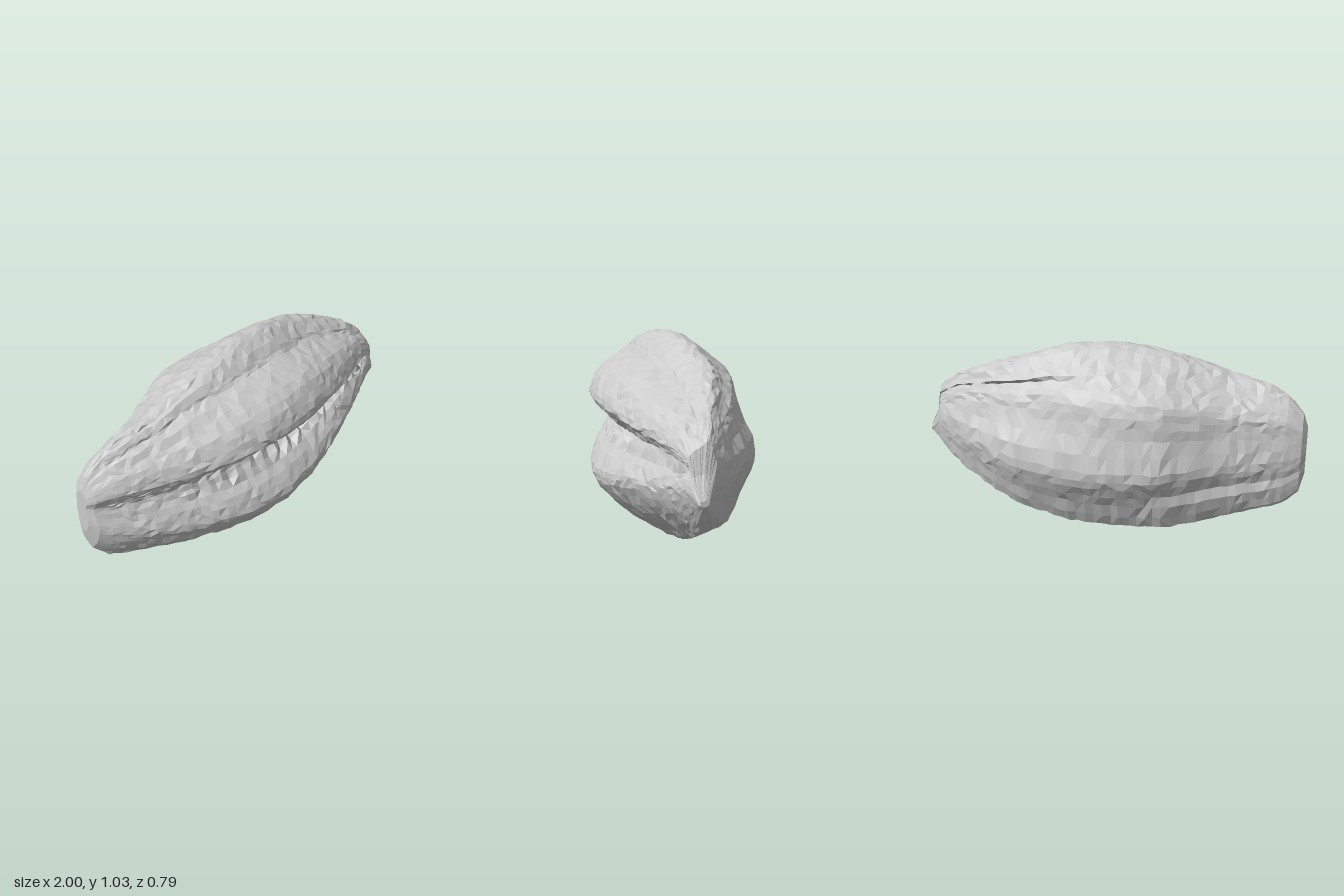
import * as THREE from 'three';

// Stations along the length: x, top y, bottom y, front z, back z, slit y
const STATIONS = [
  [-1.0, 0.66, 0.4, 0.0, -0.08, 0.56], [-0.98, 0.73, 0.29, 0.04, -0.11, 0.56],
  [-0.9, 0.815, 0.205, 0.1, -0.14, 0.555], [-0.8, 0.86, 0.165, 0.16, -0.165, 0.55],
  [-0.6, 0.905, 0.1, 0.255, -0.22, 0.55], [-0.4, 0.965, 0.05, 0.33, -0.315, 0.55],
  [-0.3, 0.995, 0.03, 0.36, -0.365, 0.55], [-0.15, 1.02, 0.01, 0.385, -0.388, 0.55],
  [0, 1.03, 0.003, 0.39, -0.395, 0.55], [0.2, 1.02, 0.015, 0.37, -0.38, 0.55],
  [0.45, 0.95, 0.075, 0.305, -0.335, 0.555], [0.6, 0.895, 0.125, 0.25, -0.255, 0.56],
  [0.8, 0.805, 0.22, 0.17, -0.115, 0.56], [0.9, 0.725, 0.305, 0.13, -0.045, 0.56],
  [0.925, 0.695, 0.33, 0.12, -0.025, 0.56], [0.945, 0.57, 0.355, 0.11, 0.0, 0.53],
  [1.0, 0.45, 0.42, 0.085, 0.04, 0.435],
];

// Middle cross-section as z, y: over the top, down the back, up the front
const SECTION = [
  [0.005, 1.03], [-0.06, 1.015], [-0.15, 0.95], [-0.235, 0.895], [-0.31, 0.84], [-0.335, 0.77],
  [-0.35, 0.66], [-0.39, 0.485], [-0.37, 0.385], [-0.3, 0.255], [-0.23, 0.1], [-0.09, 0.045],
  [0.055, 0.005], [0.13, 0.05], [0.235, 0.105], [0.32, 0.18], [0.385, 0.275], [0.385, 0.335],
  [0.343, 0.41], [0.265, 0.49], [0.21, 0.54], [0.235, 0.575], [0.3, 0.605], [0.35, 0.655],
  [0.39, 0.705], [0.37, 0.77], [0.315, 0.845], [0.235, 0.895], [0.14, 0.925], [0.11, 0.955],
  [0.05, 1.015],
];
const ALONG = 54, AROUND = SECTION.length * 2, SLIT_Y = 0.55;

function makeRandom(seed) {
  return () => {
    seed = (seed * 1664525 + 1013904223) % 4294967296;
    return seed / 4294967296 - 0.5;
  };
}

// Linear lookup of the station values at x
function stationAt(x) {
  let i = 0;
  while (i < STATIONS.length - 2 && x > STATIONS[i + 1][0]) i++;
  const a = STATIONS[i], b = STATIONS[i + 1];
  const t = (x - a[0]) / (b[0] - a[0]);
  return a.map((v, k) => v + (b[k] - v) * t);
}

function shellGeometry() {
  const random = makeRandom(17);
  const curve = new THREE.CatmullRomCurve3(
    SECTION.map(([z, y]) => new THREE.Vector3(0, y, z)), true, 'catmullrom', 0.45);
  const ring = [];
  for (let j = 0; j < AROUND; j++) ring.push(curve.getPoint(j / AROUND));

  const positions = [], indices = [];
  for (let i = 0; i <= ALONG; i++) {
    // stations gather towards both ends
    const s = (i / ALONG) * 2 - 1;
    const x = 0.65 * s + 0.35 * Math.sin(s * Math.PI / 2);
    const [, top, bottom, front, back, slit] = stationAt(x);
    const rough = 0.014 * Math.min(1, (1 - Math.abs(x)) * 5);
    const right = THREE.MathUtils.smoothstep(x, -0.2, 0.7);
    const left = THREE.MathUtils.smoothstep(-x, 0.1, 0.5);
    const toothSize = 0.007 + 0.02 * right + 0.012 * random();
    for (const p of ring) {
      let rise = (p.y - SLIT_Y) / (p.y > SLIT_Y ? 1.03 - SLIT_Y : SLIT_Y);
      let depth = p.z;
      const inSlit = p.z > 0.1 && p.z < 0.3 && rise > -0.15 && rise < 0.12;
      // the slit is shallow on one side and deep on the other
      if (inSlit) depth += (0.3 - p.z) * (0.45 - 0.95 * right);
      // the upper back recedes on the right, the lower back swells on the left
      if (p.z < -0.2 && rise > 0.2) depth += 0.08 * right * Math.min(1, rise / 0.5);
      if (p.z < -0.05 && rise < -0.5) depth -= 0.05 * left;
      // the crest drifts backwards on the right and its step fades on the left
      if (rise > 0.4) depth -= 0.1 * right * rise * Math.max(0, 1 - Math.abs(p.z) / 0.3);
      if (rise > 0.7 && p.z > 0.08 && p.z < 0.2) rise += 0.06 * left;
      // the lower lip rises towards the right end
      if (rise < 0 && p.z > 0) {
        const lift = right * Math.min(1, p.z / 0.2);
        rise = -Math.pow(-rise, 1 + 0.35 * lift);
      }
      let y = slit + rise * (rise > 0 ? top - slit : slit - bottom);
      let z = back + (front - back) * (depth + 0.39) / 0.78;
      // ragged teeth on the lower lip of the slit
      if (inSlit && rise < 0 && x > -0.5 && x < 0.85) {
        const tooth = i % 2 ? toothSize : -toothSize;
        y += tooth;
        z += tooth * 0.6;
      }
      positions.push(x + random() * rough, Math.max(0, y + random() * rough * 0.8),
        z + random() * rough * 0.8);
    }
  }
  for (let i = 0; i < ALONG; i++) {
    for (let j = 0; j < AROUND; j++) {
      const k = (j + 1) % AROUND;
      const a = i * AROUND + j, b = a + AROUND;
      const c = i * AROUND + k, d = c + AROUND;
      if (random() > 0) indices.push(a, b, c, b, d, c);
      else indices.push(a, b, d, a, d, c);
    }
  }

  // Close both ends with a fan
  for (const [row, y, z] of [[0, 0.55, -0.04], [ALONG, 0.435, 0.06]]) {
    const centre = positions.length / 3;
    positions.push(row ? 1 : -1, y, z);
    for (let j = 0; j < AROUND; j++) {
      const a = row * AROUND + j, b = row * AROUND + (j + 1) % AROUND;
      if (row) indices.push(centre, b, a);
      else indices.push(centre, a, b);
    }
  }

  const geometry = new THREE.BufferGeometry();
  geometry.setAttribute('position', new THREE.Float32BufferAttribute(positions, 3));
  geometry.setIndex(indices);
  geometry.computeVertexNormals();
  return geometry;
}

export function createModel() {
  const group = new THREE.Group();
  group.name = 'slitShell';
  const material = new THREE.MeshStandardMaterial({
    color: 0xcccccc, flatShading: true, side: THREE.DoubleSide,
  });
  const shell = new THREE.Mesh(shellGeometry(), material);
  shell.name = 'shellBody';
  group.add(shell);
  return group;
}
